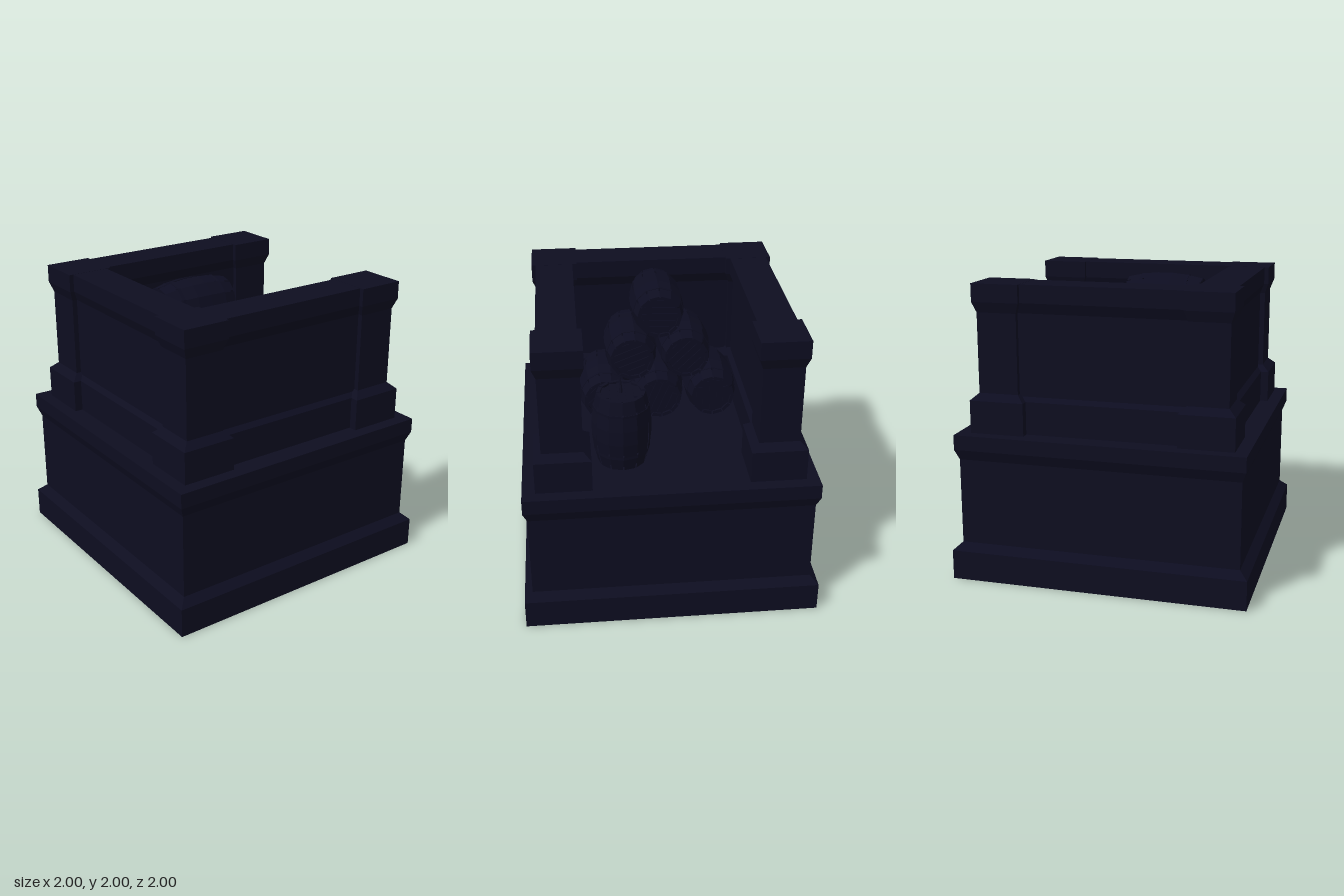
import * as THREE from 'three';

const mat = new THREE.MeshStandardMaterial({ color: 0x0d0d20 });
mat.flatShading = true;
mat.name = 'midnight stone';

function add(parent, name, geometry, x = 0, y = 0, z = 0) {
  const mesh = new THREE.Mesh(geometry.index ? geometry.toNonIndexed() : geometry, mat);
  mesh.geometry.computeVertexNormals();
  mesh.name = name;
  mesh.position.set(x, y, z);
  parent.add(mesh);
  return mesh;
}

// Square block with a moulded profile of [half width, height] pairs
function squareBlock(profile) {
  const pts = profile.map(([r, y]) => new THREE.Vector2(r * Math.SQRT2, y));
  pts.unshift(new THREE.Vector2(0, profile[0][1]));
  pts.push(new THREE.Vector2(0, profile[profile.length - 1][1]));
  return new THREE.LatheGeometry(pts, 4).rotateY(Math.PI / 4);
}

// Wall with the same kind of profile on both faces, running along z
function wallGeometry(profile, length) {
  const right = profile.map(([r, y]) => new THREE.Vector2(r, y));
  const left = profile.map(([r, y]) => new THREE.Vector2(-r, y)).reverse();
  const geo = new THREE.ExtrudeGeometry(new THREE.Shape([...right, ...left]),
    { depth: length, bevelEnabled: false });
  return geo.translate(0, 0, -length / 2);
}

// Barrel standing on y = 0: separate staves on a core, two hoops, planked heads
const R = 0.185, H = 0.52;
function makeBarrel(name) {
  const barrel = new THREE.Group();
  barrel.name = name;
  const radius = (t) => 0.15 + (R - 0.15) * (1 - (2 * t - 1) ** 2);
  const steps = [0, 0.2, 0.4, 0.6, 0.8, 1];
  const outer = steps.map((t) => new THREE.Vector2(radius(t) + 0.002, t * H));

  const core = steps.map((t) => new THREE.Vector2(radius(t) - 0.014, 0.015 + t * (H - 0.03)));
  core.unshift(new THREE.Vector2(0, 0.015));
  core.push(new THREE.Vector2(0, H - 0.015));
  add(barrel, 'barrelCore', new THREE.LatheGeometry(core, 12));

  const stave = outer.slice();
  stave.push(new THREE.Vector2(radius(1) - 0.022, H));
  stave.push(new THREE.Vector2(radius(1) - 0.022, H - 0.02));
  stave.unshift(new THREE.Vector2(radius(0) - 0.022, 0));
  stave.unshift(new THREE.Vector2(radius(0) - 0.022, 0.02));
  const step = Math.PI / 6;
  for (let i = 0; i < 12; i++) {
    add(barrel, 'stave', new THREE.LatheGeometry(stave, 1, i * step + 0.03, step - 0.06));
  }

  for (const t of [0.2, 0.8]) {
    const r = radius(t) + 0.004;
    add(barrel, 'hoop', new THREE.LatheGeometry([
      new THREE.Vector2(r - 0.02, t * H - 0.012), new THREE.Vector2(r, t * H - 0.012),
      new THREE.Vector2(r, t * H + 0.012), new THREE.Vector2(r - 0.02, t * H + 0.012),
    ], 12));
  }

  // Head planks
  for (const y of [0.014, H - 0.014]) {
    for (let i = -2; i <= 2; i++) {
      const x = i * 0.048;
      const length = 2 * Math.sqrt(0.125 ** 2 - (Math.abs(x) + 0.01) ** 2);
      add(barrel, 'headPlank', new THREE.BoxGeometry(0.042, 0.012, length), x, y, 0);
    }
  }
  return barrel;
}

export function createModel() {
  const model = new THREE.Group();
  model.name = 'turret';

  // Plinth
  add(model, 'plinth', squareBlock([[1, 0], [1, 0.2], [0.945, 0.25], [0.945, 0.83],
    [0.972, 0.9], [0.972, 1]]));

  // Corner pillars
  const pillar = squareBlock([[0.185, 1], [0.185, 1.22], [0.135, 1.265], [0.135, 1.8],
    [0.16, 1.87], [0.16, 1.99]]);
  for (const x of [-0.7, 0.7]) {
    for (const z of [-0.7, 0.7]) add(model, 'cornerPillar', pillar, x, 0, z);
  }

  // Side walls and front wall, open at the back
  const wall = wallGeometry([[0.13, 1], [0.13, 1.22], [0.1, 1.25], [0.1, 1.8],
    [0.13, 1.87], [0.13, 1.989]], 1.2);
  add(model, 'rightWall', wall, -0.7);
  add(model, 'leftWall', wall, 0.7);
  add(model, 'frontWall', wall, 0, 0, 0.7).rotation.y = Math.PI / 2;

  // Stacked barrels, three then two then one
  for (let row = 0; row < 3; row++) {
    for (let i = 0; i < 3 - row; i++) {
      const barrel = makeBarrel('stackedBarrel');
      barrel.rotation.order = 'ZXY';
      barrel.rotation.set(Math.PI / 2, (i + row * 2) * 0.4, 0);
      barrel.position.set((i - (2 - row) / 2) * 0.38, 1 + R + row * 0.313, -0.035);
      model.add(barrel);
    }
  }

  // Upright barrel with a thin spigot
  const upright = makeBarrel('uprightBarrel');
  upright.scale.set(1.07, 0.98, 1.07);
  upright.position.set(0.3, 1, -0.5);
  add(upright, 'spigot', new THREE.ConeGeometry(0.014, 0.13, 6), 0, H + 0.05, 0);
  model.add(upright);

  return model;
}
